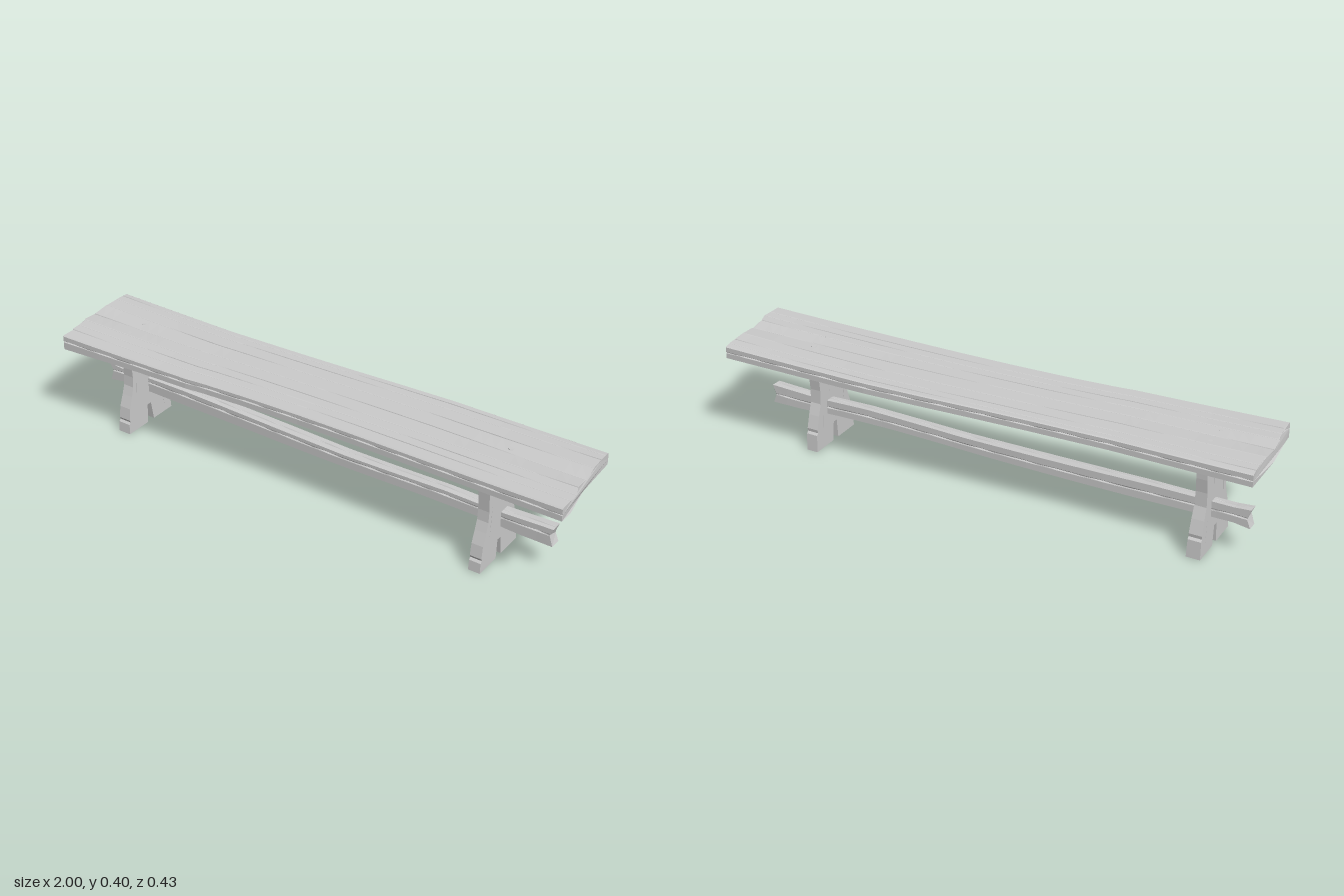
import * as THREE from 'three';

const wood = new THREE.MeshStandardMaterial({ color: 0xcccccc, flatShading: true });

// Piecewise linear lookup in a list of [position, value] pairs
function lerpTable(table, x) {
  for (let i = 1; i < table.length; i++) {
    const [x0, v0] = table[i - 1], [x1, v1] = table[i];
    if (x <= x1) return v0 + (v1 - v0) * Math.max(0, (x - x0) / (x1 - x0));
  }
  return table[table.length - 1][1];
}

// Closed solid through rings of [x, y, z]; rings run top back to front, then underneath
function loft(rings) {
  const n = rings[0].length, index = [], last = (rings.length - 1) * n;
  for (let i = 0; i < rings.length - 1; i++) {
    for (let j = 0; j < n; j++) {
      const k = (j + 1) % n, a = i * n + j, b = i * n + k;
      index.push(a, b, b + n, a, b + n, a + n);
    }
  }
  const cap = ring => THREE.ShapeUtils.triangulateShape(ring.map(p => new THREE.Vector2(-p[2], p[1])), []);
  for (const [a, b, c] of cap(rings[0])) index.push(a, c, b);
  for (const [a, b, c] of cap(rings[rings.length - 1])) index.push(last + a, last + b, last + c);
  const geo = new THREE.BufferGeometry();
  geo.setAttribute('position', new THREE.Float32BufferAttribute(rings.flat(2), 3));
  geo.setIndex(index);
  const flat = geo.toNonIndexed();
  flat.computeVertexNormals();
  return flat;
}

function addMesh(parent, name, geometry) {
  const mesh = new THREE.Mesh(geometry, wood);
  mesh.name = name;
  parent.add(mesh);
  return mesh;
}

// Seat outline: back and front edges along x
const BACK = [[-1, -0.168], [-0.5, -0.168], [-0.2, -0.18], [0, -0.19], [0.2, -0.202], [0.42, -0.213], [1, -0.215]];
const FRONT = [[-1, 0.21], [-0.45, 0.187], [-0.4, 0.18], [-0.2, 0.166], [0, 0.158], [0.2, 0.154], [1, 0.15]];
// Ragged seat ends: x by position across the seat (0 back, 1 front)
const LEFT_END = [[0, -1], [0.3, -0.995], [0.32, -1], [0.64, -0.998], [0.66, -0.985], [0.85, -0.985], [0.87, -0.975], [1, -0.98]];
const RIGHT_END = [[0, 0.97], [0.3, 0.975], [0.48, 0.985], [0.5, 0.975], [0.66, 0.985], [0.68, 1], [1, 0.998]];
// Uneven top height across the ends
const WEAR = [[0, 0.392], [0.1, 0.396], [0.3, 0.398], [0.4, 0.391], [0.55, 0.389], [0.64, 0.396], [1, 0.394]];
const GROOVES = [0.07, 0.16, 0.31, 0.49, 0.65, 0.76, 0.86];

function seatGeometry() {
  const steps = 48, w = 0.006, rings = [];
  for (let i = 0; i <= steps; i++) {
    const s = i / steps, nominal = -1 + 2 * s;
    const back = lerpTable(BACK, nominal), front = lerpTable(FRONT, nominal);
    const endness = Math.pow(Math.abs(nominal), 3);
    const point = (t, y) => [
      THREE.MathUtils.lerp(lerpTable(LEFT_END, t), lerpTable(RIGHT_END, t), s), y, back + (front - back) * t];
    const topY = t => THREE.MathUtils.lerp(0.388, lerpTable(WEAR, t), endness);
    // Front left corner sags a little
    const sag = 0.008 * Math.max(0, -nominal * 3 - 2);
    const ring = [point(0, topY(0) - 0.003), point(0.012, topY(0))];
    GROOVES.forEach((g, k) => {
      // Cracks fade in and out along the board
      const depth = 0.001 + 0.007 * Math.max(0, Math.sin(nominal * (4 + k % 3) + k * 2.1));
      ring.push(point(g - w, topY(g - w)), point(g, topY(g) - depth), point(g + w, topY(g + w)));
    });
    const dent = 0.008 + 0.006 * Math.sin(i * 1.7);
    ring.push(
      point(0.988, topY(1)), point(1, topY(1) - 0.004),
      point(1, 0.372), point(1 - dent, 0.369), point(1, 0.366),
      point(1, 0.346 - sag), point(0.85, 0.345 - sag * 0.4), point(0.5, 0.344), point(0, 0.347),
      point(0, 0.366), point(dent, 0.369), point(0, 0.372));
    rings.push(ring);
  }
  return loft(rings);
}

// Stretcher heights along x
const RAIL_TOP = [[-0.96, 0.185], [-0.9, 0.18], [-0.6, 0.182], [-0.2, 0.175], [0.1, 0.171], [0.5, 0.18], [0.7, 0.175], [0.9, 0.183]];
const RAIL_LOW = [[-0.96, 0.115], [-0.9, 0.124], [-0.6, 0.12], [0, 0.12], [0.4, 0.126], [0.65, 0.124], [0.75, 0.114], [0.9, 0.113]];

function railGeometry() {
  const steps = 32, rings = [];
  for (let i = 0; i <= steps; i++) {
    const x = -0.96 + 1.86 * i / steps;
    const top = lerpTable(RAIL_TOP, x), low = lerpTable(RAIL_LOW, x);
    const back = -0.045 + 0.003 * Math.sin(x * 5), front = -0.003 + 0.003 * Math.sin(x * 4 + 1);
    const mid = (top + low) / 2, d = 0.003 + 0.002 * Math.sin(i * 2.3);
    const end = i === 0 || i === steps ? Math.sign(x) * 0.012 : 0;
    rings.push([
      [x, top, back], [x, top, -0.027], [x, top - d, -0.024], [x, top, -0.021], [x, top - 0.002, front],
      [x - end, mid + 0.012, front], [x - end, mid + 0.008, front - d], [x - end, mid + 0.004, front],
      [x, low, front], [x, low, back],
      [x - end, mid - 0.004, back], [x - end, mid, back + d], [x - end, mid + 0.004, back]]);
  }
  return loft(rings);
}

// Forked leg board outline as [z, y]
const LEG = [
  [0.08, 0.35], [0.08, 0.29], [0.076, 0.22], [0.079, 0.18], [0.09, 0.145], [0.106, 0.1], [0.113, 0.055],
  [0.109, 0.046], [0.116, 0.038], [0.119, 0], [0.014, 0], [0.009, 0.073], [-0.01, 0.073], [-0.02, 0],
  [-0.123, 0], [-0.119, 0.065], [-0.112, 0.073], [-0.114, 0.085], [-0.1, 0.135], [-0.085, 0.178],
  [-0.083, 0.23], [-0.088, 0.28], [-0.09, 0.35]];
// Drying cracks: [z at top, y top, z at bottom, y bottom]
const CRACKS = [[-0.031, 0.31, -0.027, 0.2], [0.024, 0.345, 0.025, 0.25], [0.055, 0.24, 0.065, 0.11], [-0.072, 0.14, -0.085, 0.03]];

function legGeometry(flare) {
  const shape = new THREE.Shape(LEG.map(([z, y]) => new THREE.Vector2(-z, y)));
  for (const [z0, y0, z1, y1] of CRACKS) {
    const zm = (z0 + z1) / 2, ym = (y0 + y1) / 2;
    shape.holes.push(new THREE.Path([[z0, y0], [zm + 0.001, ym], [z1, y1], [zm - 0.001, ym]]
      .map(([z, y]) => new THREE.Vector2(-z, y))));
  }
  const geo = new THREE.ExtrudeGeometry(shape, { depth: 0.042, bevelEnabled: false });
  geo.translate(0, 0, -0.021).rotateY(Math.PI / 2);
  // Feet are a little thicker than the top
  const p = geo.attributes.position;
  for (let i = 0; i < p.count; i++) p.setX(i, p.getX(i) * (1 + flare * (1 - p.getY(i) / 0.2)));
  geo.computeVertexNormals();
  return geo;
}

export function createModel() {
  const bench = new THREE.Group();
  bench.name = 'bench';
  addMesh(bench, 'seat', seatGeometry());
  addMesh(bench, 'stretcher', railGeometry());
  addMesh(bench, 'rightLeg', legGeometry(0.2)).position.x = -0.802;
  addMesh(bench, 'leftLeg', legGeometry(0.05)).position.x = 0.687;

  // Small knots in the seat surface
  for (const [x, z, r] of [[-0.8, -0.025, 0.01], [-0.8, 0.055, 0.01], [0.7, -0.06, 0.012], [0.7, 0.03, 0.013]]) {
    const knot = addMesh(bench, 'knot', new THREE.CylinderGeometry(r * 0.8, r, 0.006, 6));
    knot.position.set(x, 0.3885, z);
  }
  return bench;
}
